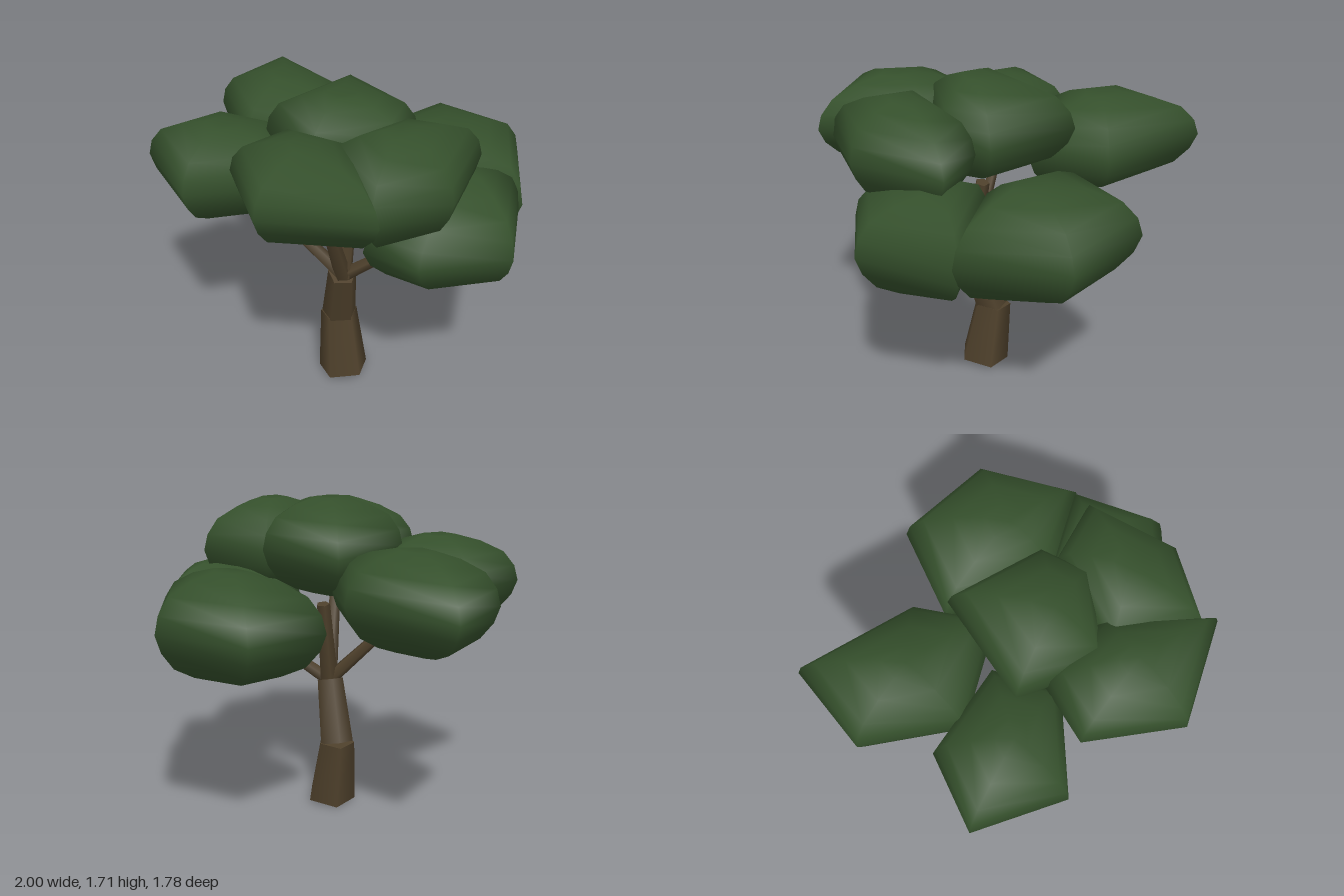
import * as THREE from 'three';

const leaf = new THREE.MeshStandardMaterial({ color: 0x35502c });
leaf.name = 'leaf green';
const bark = new THREE.MeshStandardMaterial({ color: 0x4e402b });
bark.name = 'bark brown';

// Rounded side profile of a foliage clump: [height, radius] as fractions
const PROFILE = [[-1, 0.26], [-0.87, 0.52], [-0.65, 0.78], [-0.33, 0.93], [0, 1],
  [0.33, 0.95], [0.64, 0.81], [0.87, 0.52], [1, 0.22]];

// Five-cornered clump; corners run clockwise seen from above, tilt is [dy/dx, dy/dz]
function clump(name, [cx, cz], [low, high], corners, tilt = [0, 0]) {
  const mid = (low + high) / 2, half = (high - low) / 2, n = corners.length;
  const points = [], index = [];
  for (const [h, r] of PROFILE) {
    for (const [x, z] of corners) {
      const dx = (x - cx) * r, dz = (z - cz) * r;
      points.push(cx + dx, mid + h * half + tilt[0] * dx + tilt[1] * dz, cz + dz);
    }
  }
  points.push(cx, low, cz, cx, high - 0.01, cz);
  const rings = PROFILE.length, bottom = rings * n, top = bottom + 1;
  for (let j = 0; j < n; j++) {
    const k = (j + 1) % n;
    for (let i = 0; i < rings - 1; i++) {
      const a = i * n + j, b = i * n + k;
      index.push(a, a + n, b + n, a, b + n, b);
    }
    index.push(bottom, j, k, top, (rings - 1) * n + k, (rings - 1) * n + j);
  }
  const geo = new THREE.BufferGeometry();
  geo.setAttribute('position', new THREE.Float32BufferAttribute(points, 3));
  geo.setIndex(index);
  geo.computeVertexNormals();
  const mesh = new THREE.Mesh(geo, leaf);
  mesh.name = name;
  return mesh;
}

// Tapered five-sided limb between two points, one corner towards +x
function limb(name, from, to, r0, r1) {
  const a = new THREE.Vector3(...from), b = new THREE.Vector3(...to);
  const dir = b.clone().sub(a);
  const geo = new THREE.CylinderGeometry(r1, r0, dir.length(), 5, 1, false, Math.PI / 2);
  const mesh = new THREE.Mesh(geo, bark);
  mesh.position.copy(a).add(b).multiplyScalar(0.5);
  mesh.quaternion.setFromUnitVectors(new THREE.Vector3(0, 1, 0), dir.normalize());
  mesh.name = name;
  return mesh;
}

export function createModel() {
  const tree = new THREE.Group();
  tree.name = 'tree';

  // Bent trunk
  tree.add(limb('lowerTrunk', [0.106, 0.018, 0.152], [0.053, 0.368, 0.135], 0.138, 0.102));
  tree.add(limb('upperTrunk', [0.055, 0.355, 0.135], [0.144, 0.695, 0.187], 0.096, 0.076));

  // Branches fanning out of the fork
  const fork = [0.15, 0.69, 0.19];
  [
    ['rightBranch', [-0.23, 1.13, 0.45], 0.04, 0.025],
    ['middleBranch', [0.125, 1.14, 0.11], 0.052, 0.038],
    ['topBranch', [0.29, 1.27, 0.43], 0.046, 0.028],
    ['leftBranch', [0.4, 0.92, -0.01], 0.038, 0.026],
  ].forEach(([name, end, r0, r1]) => tree.add(limb(name, fork, end, r0, r1)));

  // Foliage clumps
  tree.add(
    clump('rightFoliage', [-0.55, -0.01], [1.02, 1.52],
      [[-1, -0.32], [-0.36, -0.32], [-0.06, -0.05], [-0.45, 0.33], [-0.93, 0.15]]),
    clump('frontRightFoliage', [-0.31, 0.55], [1.03, 1.51],
      [[-0.64, 0.36], [-0.2, 0.15], [0.03, 0.42], [-0.21, 0.87], [-0.68, 0.77]]),
    clump('centreFoliage', [0.13, 0.17], [1.2, 1.71],
      [[-0.23, -0.2], [0.28, -0.19], [0.42, 0.04], [0.23, 0.45], [-0.2, 0.38]]),
    clump('frontFoliage', [0.34, 0.55], [1.22, 1.66],
      [[-0.05, 0.38], [0.32, 0.26], [0.81, 0.54], [0.4, 0.89], [-0.05, 0.7]], [0.04, 0]),
    clump('leftFoliage', [0.53, 0.17], [1.18, 1.68],
      [[0.32, -0.12], [0.61, -0.29], [0.85, 0.14], [0.74, 0.53], [0.28, 0.42]]),
    clump('backFoliage', [0.26, -0.45], [0.83, 1.39],
      [[-0.17, -0.78], [0.34, -0.89], [0.72, -0.5], [0.36, -0.19], [-0.22, -0.28]], [0, -0.04]),
    clump('backLeftFoliage', [0.6, -0.23], [0.83, 1.36],
      [[0.23, -0.08], [0.69, -0.51], [1, -0.12], [0.78, 0.27], [0.5, 0.36]]),
  );
  return tree;
}
